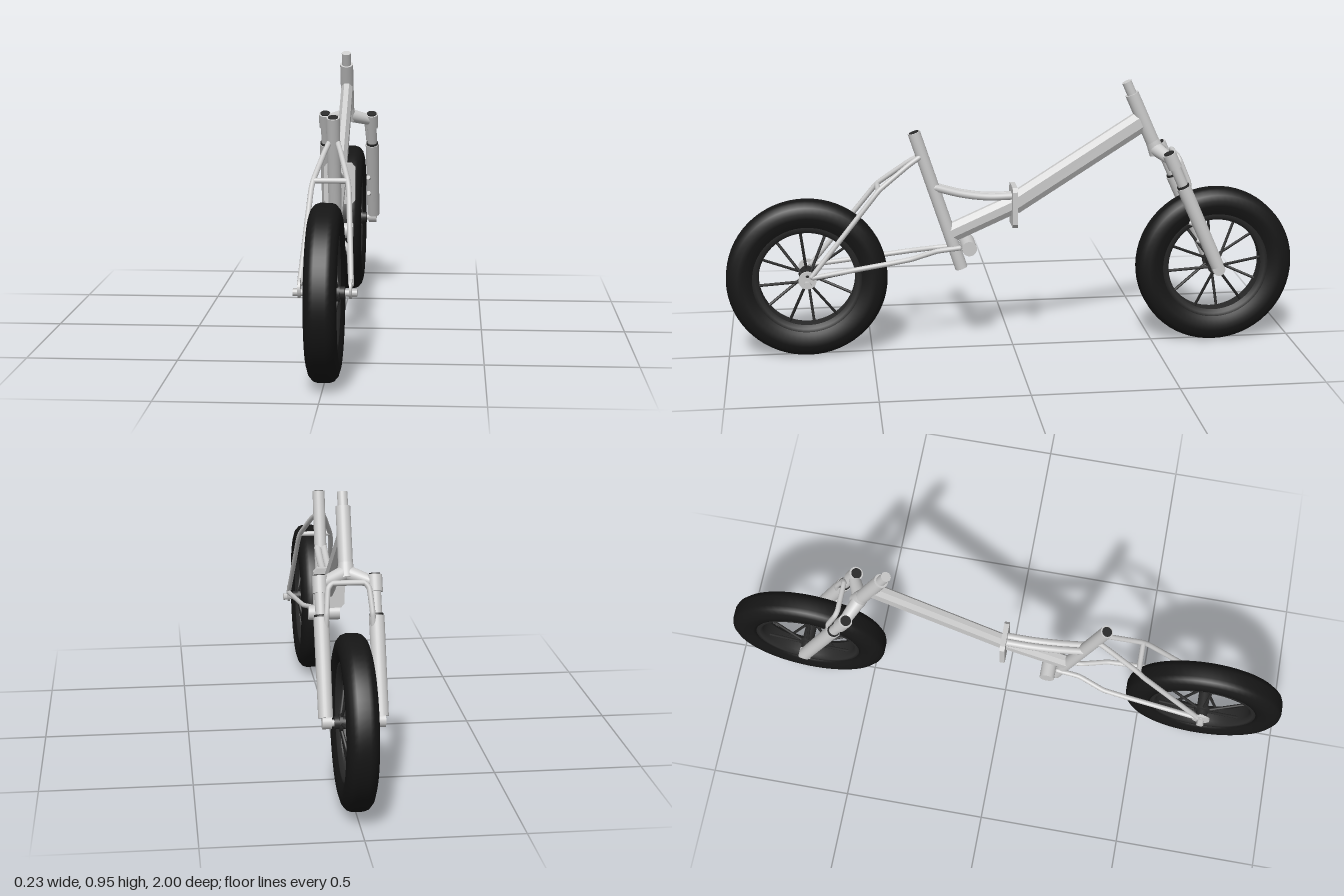
import * as THREE from 'three';

const grey = new THREE.MeshStandardMaterial({ color: 0xcccccc });
const tyreMat = new THREE.MeshStandardMaterial({ color: 0x161616 });
const darkMat = new THREE.MeshStandardMaterial({ color: 0x2a2a2a });
const V = (x, y, z) => new THREE.Vector3(x, y, z);
const UP = V(0, 1, 0);

function add(parent, name, geometry, material = grey) {
  const mesh = new THREE.Mesh(geometry, material);
  mesh.name = name;
  parent.add(mesh);
  return mesh;
}

// Round bar between two points
function bar(parent, name, a, b, r, material = grey, r2 = r, sides = 24) {
  const mesh = add(parent, name, new THREE.CylinderGeometry(r2, r, a.distanceTo(b), sides), material);
  mesh.position.copy(a).lerp(b, 0.5);
  mesh.quaternion.setFromUnitVectors(UP, b.clone().sub(a).normalize());
  return mesh;
}

// Bent tube with capped ends
function pipe(parent, name, points, r, tension = 0.15) {
  const curve = new THREE.CatmullRomCurve3(points, false, 'catmullrom', tension);
  add(parent, name, new THREE.TubeGeometry(curve, 40, r, 12));
  for (const p of [points[0], points[points.length - 1]])
    add(parent, name + 'End', new THREE.SphereGeometry(r, 12, 8)).position.copy(p);
}

// Bar with a chamfered section between two points in the centre plane
function beam(parent, name, a, b, width, height, chamfer) {
  const w = width / 2, h = height / 2, c = chamfer;
  const shape = new THREE.Shape([
    [-w + c * 0.6, -h], [w - c * 0.6, -h], [w, -h + c], [w, h - c],
    [w - c * 0.6, h], [-w + c * 0.6, h], [-w, h - c], [-w, -h + c],
  ].map(([x, y]) => new THREE.Vector2(x, y)));
  const geo = new THREE.ExtrudeGeometry(shape, { depth: a.distanceTo(b), bevelEnabled: false });
  const mesh = add(parent, name, geo);
  mesh.position.copy(a);
  mesh.lookAt(b);
}

// Closed ring around the x axis, profile given as [radius, offset]
function ring(parent, name, profile, material) {
  const pts = profile.map(([r, w]) => new THREE.Vector2(r, w));
  pts.push(pts[0].clone());
  add(parent, name, new THREE.LatheGeometry(pts, 64), material).rotation.z = Math.PI / 2;
}

function wheel(name, z) {
  const g = new THREE.Group();
  g.name = name;
  g.position.set(0, 0.28, z);
  ring(g, 'tyre', [
    [0.185, -0.036], [0.2, -0.043], [0.222, -0.05], [0.24, -0.05], [0.26, -0.044], [0.274, -0.032], [0.279, -0.018],
    [0.279, 0.018], [0.274, 0.032], [0.26, 0.044], [0.24, 0.05], [0.222, 0.05], [0.2, 0.043], [0.185, 0.036],
  ], tyreMat);
  ring(g, 'rim', [[0.167, -0.025], [0.178, -0.038], [0.196, -0.038], [0.196, 0.038], [0.178, 0.038], [0.167, 0.025]], darkMat);
  // Hub with flanges and axle
  bar(g, 'hub', V(-0.062, 0, 0), V(0.062, 0, 0), 0.02, darkMat);
  for (const s of [-1, 1]) bar(g, 'hubFlange', V(s * 0.036, 0, 0), V(s * 0.046, 0, 0), 0.029, darkMat);
  bar(g, 'axle', V(-0.1, 0, 0), V(0.1, 0, 0), 0.011);
  // Spokes alternate between the two flanges
  for (let i = 0; i < 12; i++) {
    const a = (i / 12) * Math.PI * 2 + 0.12, s = i % 2 ? 1 : -1;
    bar(g, 'spoke', V(s * 0.04, 0.022 * Math.cos(a), 0.022 * Math.sin(a)),
      V(s * 0.012, 0.172 * Math.cos(a), 0.172 * Math.sin(a)), 0.005, darkMat, 0.005, 8);
  }
  return g;
}

function frame() {
  const g = new THREE.Group();
  g.name = 'frame';
  bar(g, 'seatTube', V(0, 0.295, 0.182), V(0, 0.785, 0.342), 0.022);
  bar(g, 'seatTubeBore', V(0, 0.784, 0.3417), V(0, 0.787, 0.3427), 0.017, darkMat);
  beam(g, 'mainBeam', V(0, 0.52, 0.0), V(0, 0.805, -0.45), 0.042, 0.074, 0.02);
  beam(g, 'rearBeam', V(0, 0.425, 0.215), V(0, 0.52, 0), 0.042, 0.066, 0.02);

  // Folding joint plate
  const plate = new THREE.Shape();
  plate.moveTo(-0.042, -0.072).lineTo(0.042, -0.072).lineTo(0.055, -0.058).lineTo(0.055, 0.058)
    .lineTo(0.042, 0.072).lineTo(-0.042, 0.072).lineTo(-0.055, 0.058).lineTo(-0.055, -0.058);
  add(g, 'hingePlate', new THREE.ExtrudeGeometry(plate, { depth: 0.018, bevelEnabled: false }))
    .position.set(0, 0.517, -0.012);

  bar(g, 'bottomBracket', V(-0.056, 0.378, 0.158), V(0.056, 0.378, 0.158), 0.026);

  for (const s of [-1, 1]) {
    // Curved brace from the seat tube to the plate
    pipe(g, 'curvedBrace', [V(s * 0.011, 0.59, 0.27), V(s * 0.011, 0.565, 0.18), V(s * 0.011, 0.552, 0.09), V(s * 0.011, 0.552, 0)], 0.013, 0.5);
    pipe(g, 'seatStay', [V(s * 0.014, 0.7, 0.325), V(s * 0.026, 0.675, 0.365), V(s * 0.054, 0.6, 0.465),
      V(s * 0.061, 0.565, 0.495), V(s * 0.08, 0.305, 0.705)], 0.009);
    pipe(g, 'chainStay', [V(s * 0.018, 0.372, 0.19), V(s * 0.024, 0.365, 0.27), V(s * 0.053, 0.348, 0.36),
      V(s * 0.06, 0.338, 0.43), V(s * 0.08, 0.302, 0.7)], 0.009);
    // Rear dropout
    const drop = new THREE.Shape().absarc(0, 0, 0.031, 0, Math.PI * 2);
    drop.holes.push(new THREE.Path().absarc(0, 0.014, 0.006, 0, Math.PI * 2, true));
    const d = add(g, 'dropout', new THREE.ExtrudeGeometry(drop, { depth: 0.008, bevelEnabled: false, curveSegments: 20 }));
    d.rotation.y = Math.PI / 2;
    d.position.set(s * 0.08 - 0.004, 0.293, 0.72);
    bar(g, 'axleNut', V(s * 0.084, 0.28, 0.72), V(s * 0.1, 0.28, 0.72), 0.013, grey, 0.013, 6);
  }
  bar(g, 'stayBridge', V(-0.056, 0.594, 0.47), V(0.056, 0.594, 0.47), 0.009);
  return g;
}

function fork() {
  const g = new THREE.Group();
  g.name = 'steering';
  // Steering axis
  bar(g, 'steerer', V(0, 0.88, -0.425), V(0, 0.945, -0.396), 0.017);
  bar(g, 'headTube', V(0, 0.72, -0.496), V(0, 0.902, -0.415), 0.024);
  bar(g, 'crownCone', V(0, 0.69, -0.51), V(0, 0.735, -0.49), 0.03, grey, 0.024);

  const legAt = (s, y) => V(s * 0.088, y, -0.72 + (y - 0.285) * 0.445);
  for (const s of [-1, 1]) {
    bar(g, 'crownArm', V(s * 0.01, 0.703, -0.506), legAt(s, 0.68), 0.025, grey, 0.019);
    bar(g, 'crownClamp', legAt(s, 0.655), legAt(s, 0.705), 0.024);
    bar(g, 'legCap', legAt(s, 0.704), legAt(s, 0.709), 0.018, darkMat);
    bar(g, 'stanchion', legAt(s, 0.56), legAt(s, 0.67), 0.018);
    bar(g, 'legSeal', legAt(s, 0.585), legAt(s, 0.592), 0.022, darkMat);
    bar(g, 'lowerLeg', legAt(s, 0.295), legAt(s, 0.585), 0.0235, grey, 0.025);
    bar(g, 'forkDropout', V(s * 0.07, 0.283, -0.72), V(s * 0.1, 0.283, -0.72), 0.022);
  }
  // Arch joining the lower legs ahead of the crown
  pipe(g, 'forkArch', [V(-0.076, 0.555, -0.61), V(-0.073, 0.6, -0.607), V(-0.066, 0.672, -0.578), V(-0.05, 0.69, -0.57),
    V(0.05, 0.69, -0.57), V(0.066, 0.672, -0.578), V(0.073, 0.6, -0.607), V(0.076, 0.555, -0.61)], 0.009);
  // Brake mount on the left leg
  for (const y of [0.375, 0.44]) {
    const p = legAt(1, y);
    bar(g, 'brakeMount', V(0.08, p.y, p.z), V(0.072, p.y + 0.012, p.z + 0.037), 0.008);
  }
  return g;
}

export function createModel() {
  const model = new THREE.Group();
  model.name = 'bicycleFrame';
  model.add(wheel('rearWheel', 0.721), wheel('frontWheel', -0.721), frame(), fork());
  return model;
}
